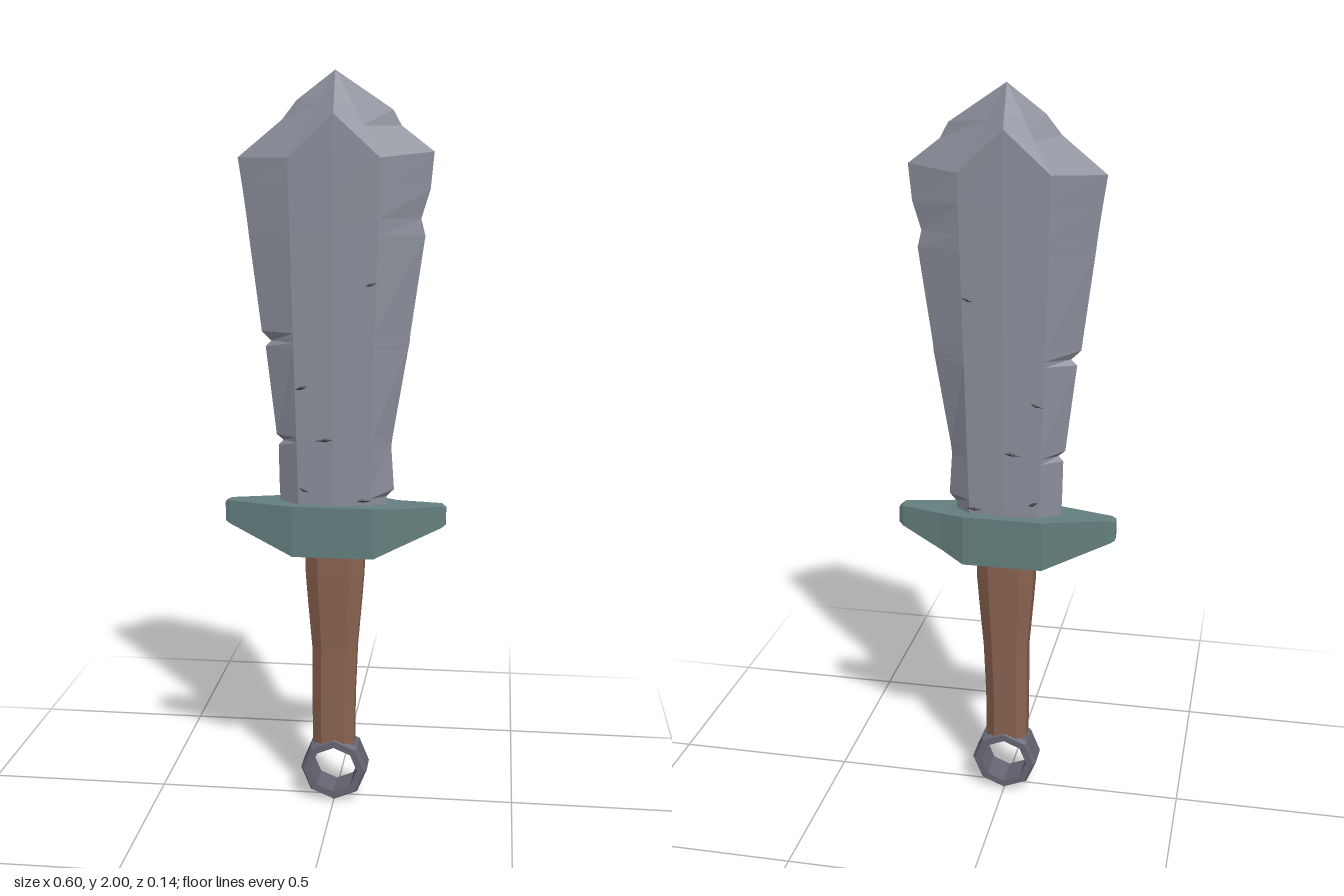
import * as THREE from 'three';

const material = (color) => new THREE.MeshStandardMaterial({ color, flatShading: true });

// Skin a row of equal-length point loops and close both ends
function loft(loops) {
  const pos = [];
  const tri = (...pts) => pts.forEach((p) => pos.push(...p));
  const n = loops[0].length;
  for (let r = 0; r < loops.length - 1; r++) {
    const a = loops[r], b = loops[r + 1];
    for (let i = 0; i < n; i++) {
      const j = (i + 1) % n;
      tri(a[i], a[j], b[j]);
      tri(a[i], b[j], b[i]);
    }
  }
  const first = loops[0], last = loops[loops.length - 1];
  for (let i = 1; i < n - 1; i++) {
    tri(first[0], first[i + 1], first[i]);
    tri(last[0], last[i], last[i + 1]);
  }
  const g = new THREE.BufferGeometry();
  g.setAttribute('position', new THREE.Float32BufferAttribute(pos, 3));
  g.computeVertexNormals();
  return g;
}

// Eight-point blade section: two sharp edges, bevel lines and a low central ridge
function bladeLoop(left, right, [xi, yi, zi], [yc, zc]) {
  return [
    [...left, 0], [-xi, yi, zi], [0, yc, zc], [xi, yi, zi],
    [...right, 0], [xi, yi, -zi], [0, yc, -zc], [-xi, yi, -zi],
  ];
}

export function createModel() {
  const model = new THREE.Group();
  const add = (name, geometry, mat, parent = model) => {
    const mesh = new THREE.Mesh(geometry, mat);
    mesh.name = name;
    parent.add(mesh);
    return mesh;
  };
  const steel = material(0x8b8f9b);
  const verdigris = material(0x64807f);
  const wood = material(0x8a6350);
  const iron = material(0x666673);
  const dark = material(0x45464f);

  // Blade: y, left edge, right edge, with chips along both edges
  const rows = [
    [0.82, -0.15, 0.14], [0.88, -0.152, 0.14], [0.9, -0.153, 0.16],
    [1.015, -0.155, 0.152], [1.03, -0.142, 0.153], [1.045, -0.16, 0.155],
    [1.285, -0.188, 0.195], [1.3, -0.172, 0.198], [1.325, -0.198, 0.2],
    [1.58, -0.23, 0.236], [1.625, -0.235, 0.225], [1.7, -0.245, 0.248],
  ];
  const loops = rows.map(([y, l, r]) => {
    const xi = 0.095 + 0.027 * (y - 0.82);
    return bladeLoop([l, y], [r, y], [xi, y, 0.04], [y, 0.046]);
  });
  loops.push(
    bladeLoop([-0.257, 1.78], [0.257, 1.795], [0.12, 1.78, 0.04], [1.89, 0.046]),
    bladeLoop([-0.14, 1.875], [0.172, 1.86], [0.075, 1.86, 0.025], [1.93, 0.03]),
    bladeLoop([-0.1, 1.925], [0.15, 1.9], [0.05, 1.91, 0.016], [1.955, 0.019]),
    bladeLoop([0, 2], [0, 2], [0, 2, 0], [2, 0]),
  );
  add('blade', loft(loops), steel);

  // Thin scratches on both blade faces
  const scratches = new THREE.Group();
  scratches.name = 'bladeScratches';
  model.add(scratches);
  for (const [x, y, len, tilt] of [
    [-0.085, 1.18, 0.045, 0.3], [-0.02, 1.04, 0.06, 0.1], [-0.08, 0.9, 0.035, -0.4],
    [0.095, 1.455, 0.04, 0.3], [0.08, 0.875, 0.05, 0.05],
  ]) {
    for (const side of [1, -1]) {
      const s = add('scratch', new THREE.OctahedronGeometry(1), dark, scratches);
      s.scale.set(len / 2, 0.005, 0.003);
      s.position.set(x, y, side * (0.046 - 0.06 * Math.abs(x)));
      s.rotation.z = tilt;
    }
  }

  // Guard: rectangular sections along x, tapering to blunt tips
  const guard = [
    [-0.302, 0.802, 0.855, 0.012, 0.014], [-0.29, 0.795, 0.86, 0.018, 0.02],
    [-0.11, 0.72, 0.86, 0.07, 0.072], [0.11, 0.72, 0.86, 0.07, 0.072],
    [0.17, 0.747, 0.857, 0.053, 0.05], [0.29, 0.8, 0.86, 0.02, 0.02],
    [0.302, 0.808, 0.852, 0.014, 0.012],
  ].map(([x, lo, hi, zf, zb]) => [[x, hi, zf], [x, lo, zf], [x, lo, -zb], [x, hi, -zb]]);
  add('guard', loft(guard), verdigris);

  // Grip: eight-sided wood that flares into the guard
  const grip = [
    [0.165, 0.058, 0.041, -0.003], [0.3, 0.059, 0.042, -0.003], [0.45, 0.062, 0.043, 0],
    [0.58, 0.073, 0.046, 0], [0.66, 0.079, 0.049, 0], [0.74, 0.08, 0.05, 0],
  ].map(([y, w, d, cx]) =>
    [[-1, -0.5], [-1, 0.5], [-0.55, 1], [0.55, 1], [1, 0.5], [1, -0.5], [0.55, -1], [-0.55, -1]]
      .map(([x, z]) => [cx + x * w, y, z * d]));
  add('grip', loft(grip), wood);

  // Pommel: a wide faceted ring with its hole facing forward
  const band = [
    [0.066, -0.046], [0.086, -0.046], [0.093, -0.034], [0.093, 0.034],
    [0.086, 0.046], [0.066, 0.046], [0.066, -0.046],
  ].map(([x, y]) => new THREE.Vector2(x, y));
  const ring = add('pommelRing', new THREE.LatheGeometry(band, 8), iron);
  ring.rotation.x = Math.PI / 2;
  ring.position.y = 0.093;

  return model;
}
